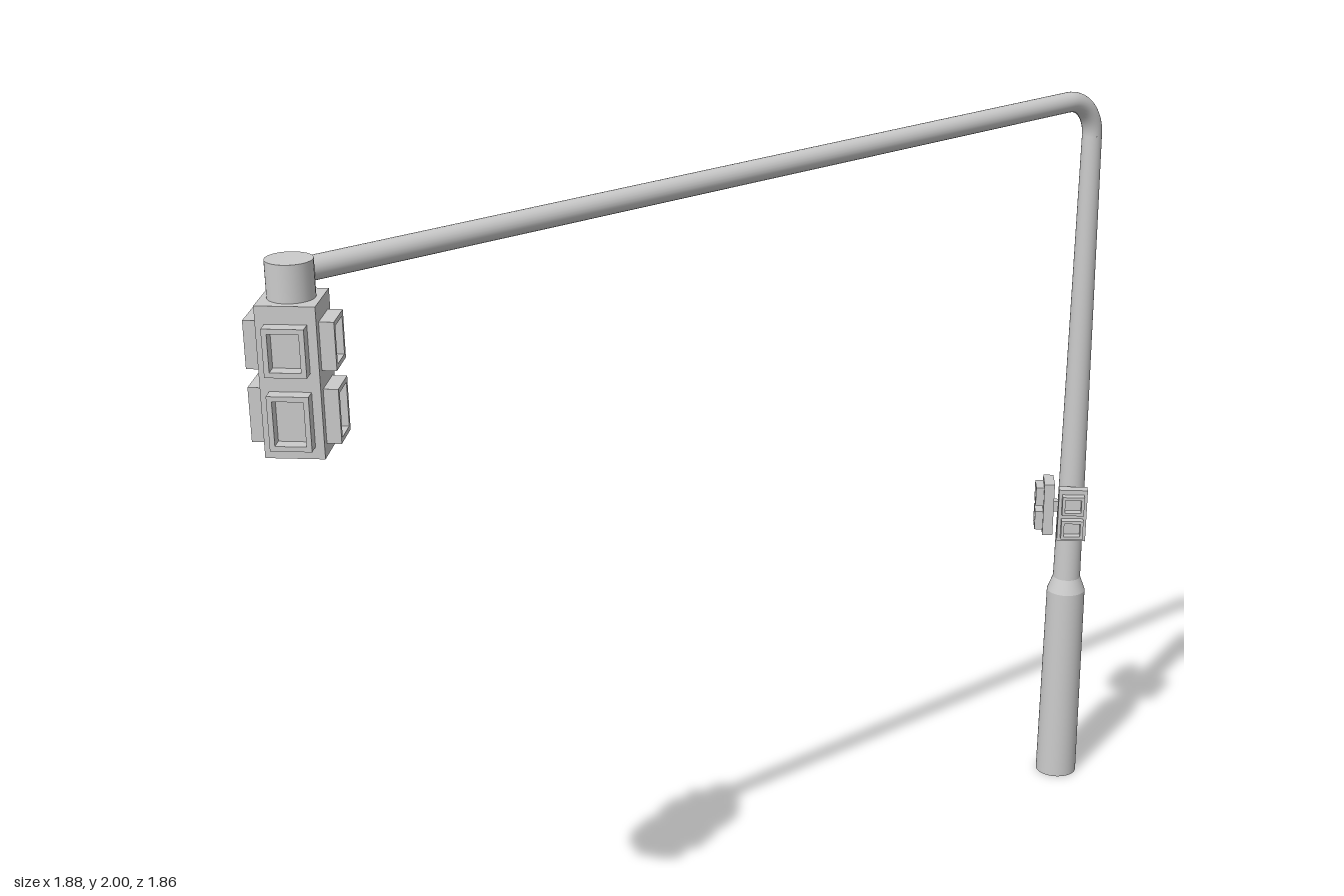
import * as THREE from 'three';

const material = new THREE.MeshStandardMaterial({ color: 0xcccccc });
const POLE = new THREE.Vector3(0.877, 0, -0.87);
const HEAD = new THREE.Vector3(-0.85, 0, 0.833);

function add(parent, name, geometry, x = 0, y = 0, z = 0) {
  const mesh = new THREE.Mesh(geometry, material);
  mesh.name = name;
  mesh.position.set(x, y, z);
  parent.add(mesh);
  return mesh;
}

function rect(path, w, h) {
  path.moveTo(-w / 2, -h / 2);
  path.lineTo(w / 2, -h / 2);
  path.lineTo(w / 2, h / 2);
  path.lineTo(-w / 2, h / 2);
  path.closePath();
  return path;
}

// Open rectangular hood standing out along +z
function frame(w, h, depth, rim) {
  const shape = rect(new THREE.Shape(), w, h);
  shape.holes.push(rect(new THREE.Path(), w - 2 * rim, h - 2 * rim));
  return new THREE.ExtrudeGeometry(shape, { depth, bevelEnabled: false });
}

// Four-sided signal hanging from the arm
function trafficSignal() {
  const signal = new THREE.Group();
  signal.name = 'trafficSignal';
  signal.position.copy(HEAD);
  add(signal, 'signalHanger', new THREE.CylinderGeometry(0.05, 0.05, 0.08, 32), 0, 1.96, 0);
  add(signal, 'signalHousing', new THREE.BoxGeometry(0.125, 0.325, 0.13), 0, 1.757, 0);
  for (let i = 0; i < 4; i++) {
    const side = new THREE.Group();
    side.name = 'signalFace';
    side.rotation.y = i * Math.PI / 2;
    const out = i % 2 ? 0.0625 : 0.065;
    add(side, 'upperHood', frame(0.087, 0.103, 0.031, 0.011), 0, 1.83, out);
    add(side, 'lowerHood', frame(0.087, 0.118, 0.031, 0.011), 0, 1.68, out);
    signal.add(side);
  }
  return signal;
}

// Small two-lamp signal facing +z, mounted beside the pole
function crossingSignal(angle) {
  const signal = new THREE.Group();
  signal.name = 'crossingSignal';
  signal.position.copy(POLE);
  signal.rotation.y = angle;
  add(signal, 'crossingHousing', new THREE.BoxGeometry(0.078, 0.15, 0.028), 0, 0.823, 0.063);
  add(signal, 'crossingBracket', new THREE.BoxGeometry(0.02, 0.03, 0.03), 0, 0.823, 0.037);
  for (const y of [0.788, 0.858]) {
    add(signal, 'crossingHood', frame(0.06, 0.054, 0.022, 0.008), 0, y, 0.077);
  }
  return signal;
}

export function createModel() {
  const model = new THREE.Group();
  model.name = 'trafficLight';

  // Tapered pole with a thick base and a short shoulder
  const base = [[0, 0], [0.057, 0]], sleeve = [[0.057, 0], [0.053, 0.57]];
  const shoulder = [[0.053, 0.57], [0.038, 0.61]], shaft = [[0.038, 0.61], [0.026, 1.87]];
  const pole = new THREE.Group();
  pole.name = 'pole';
  pole.position.copy(POLE);
  const sections = { poleBottom: base, poleBase: sleeve, poleShoulder: shoulder, poleShaft: shaft };
  for (const [name, points] of Object.entries(sections)) {
    add(pole, name, new THREE.LatheGeometry(points.map(([r, y]) => new THREE.Vector2(r, y)), 32));
  }
  model.add(pole);

  // Elbow and diagonal arm, laid out along the group's own x axis
  const dx = HEAD.x - POLE.x, dz = HEAD.z - POLE.z;
  const length = Math.hypot(dx, dz) - 0.02;
  const arm = new THREE.Group();
  arm.name = 'arm';
  arm.position.copy(POLE);
  arm.rotation.y = Math.atan2(-dz, dx);
  const elbow = new THREE.TorusGeometry(0.1, 0.026, 24, 14, Math.PI / 2);
  add(arm, 'armElbow', elbow.rotateZ(Math.PI / 2), 0.1, 1.87, 0);
  const bar = new THREE.CylinderGeometry(0.026, 0.026, length - 0.1, 24);
  add(arm, 'armBar', bar.rotateZ(Math.PI / 2), (length + 0.1) / 2, 1.97, 0);
  model.add(arm);

  model.add(trafficSignal(), crossingSignal(0), crossingSignal(-Math.PI / 2));
  return model;
}
